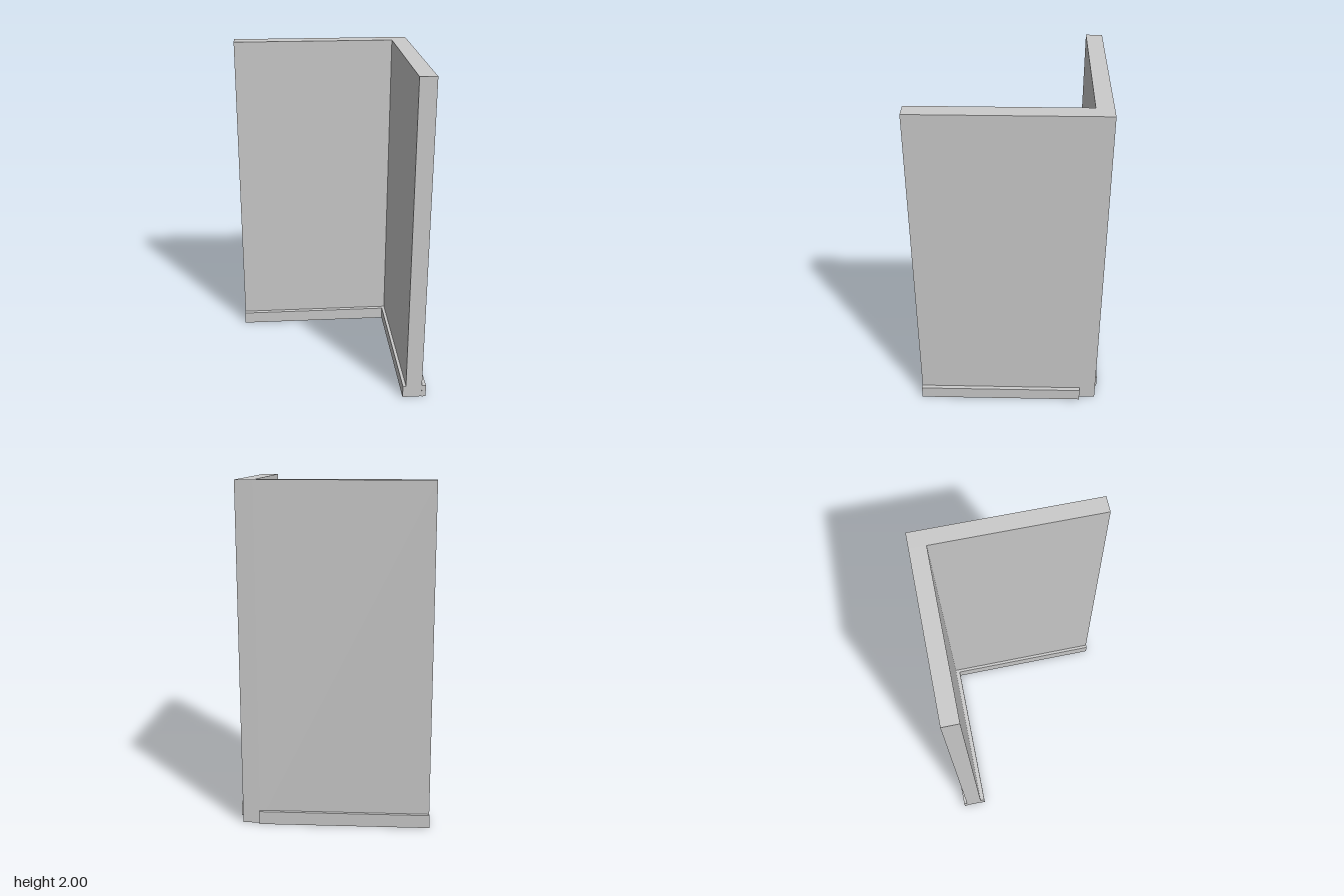
import * as THREE from 'three';

export function createModel() {
  const group = new THREE.Group();
  const material = new THREE.MeshStandardMaterial({ color: 0xcccccc, flatShading: true });

  // Box given by its limits on each axis
  function block(name, [x0, x1], [y0, y1], [z0, z1]) {
    const geometry = new THREE.BoxGeometry(x1 - x0, y1 - y0, z1 - z0);
    const mesh = new THREE.Mesh(geometry, material);
    mesh.name = name;
    mesh.position.set((x0 + x1) / 2, (y0 + y1) / 2, (z0 + z1) / 2);
    group.add(mesh);
  }

  const full = [0, 2];
  const skirt = [0, 0.078];
  const wallX = [0.438, 0.537]; // thickness of the side wall
  const wallZ = [-0.541, -0.443]; // thickness of the back wall

  // Two walls meeting at a corner post
  block('backWall', [-0.56, wallX[0]], full, wallZ);
  block('cornerPost', wallX, full, wallZ);
  block('sideWall', wallX, full, [wallZ[1], 0.556]);

  // Skirting boards on both faces of each wall; the outer ones stop at the post
  block('backSkirtingInner', [-0.562, wallX[0]], skirt, [wallZ[1], -0.416]);
  block('backSkirtingOuter', [-0.562, wallX[0]], skirt, [-0.56, wallZ[0]]);
  block('sideSkirtingInner', [0.419, wallX[0]], skirt, [-0.416, 0.558]);
  block('sideSkirtingOuter', [wallX[1], 0.562], skirt, [wallZ[1], 0.558]);

  return group;
}
